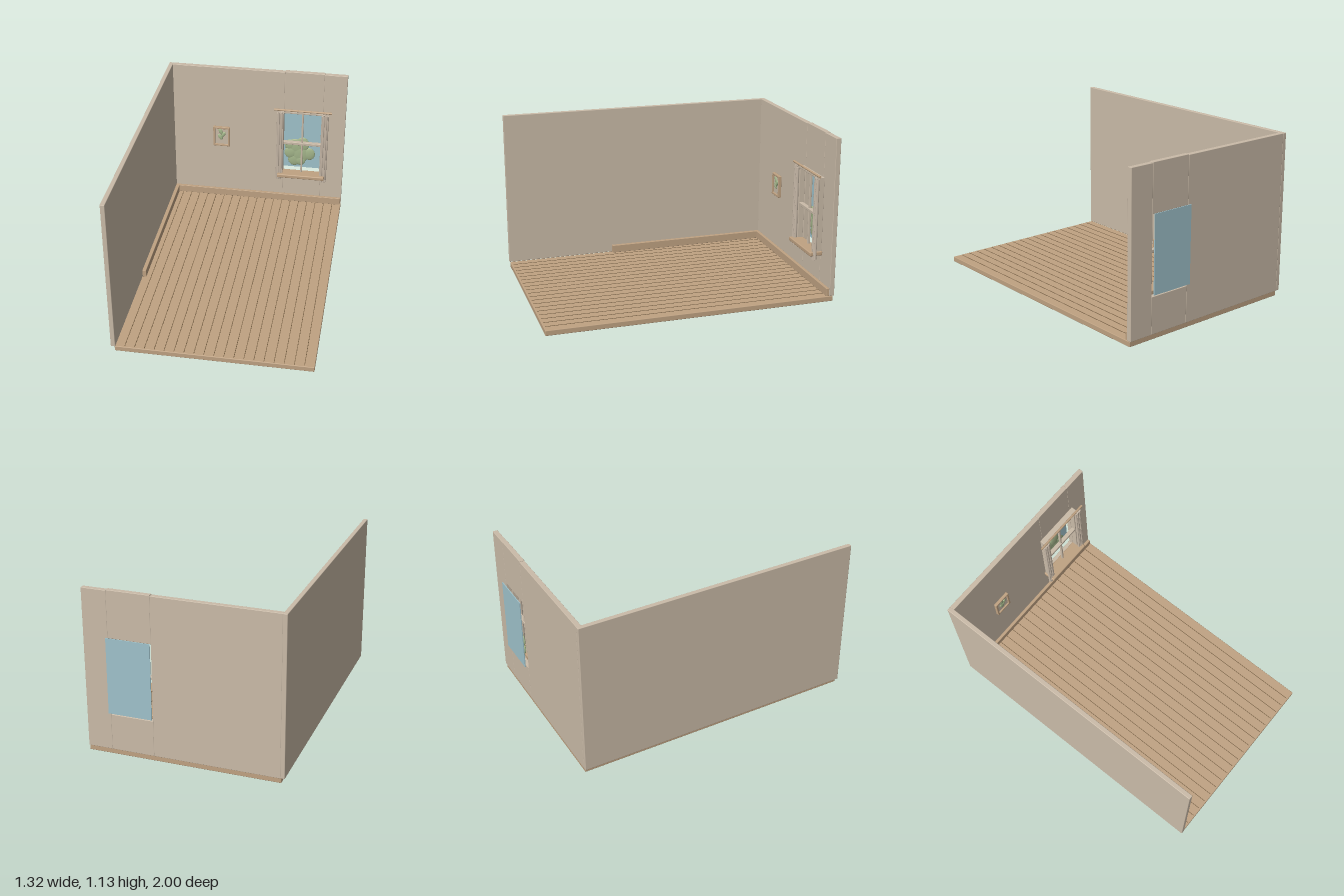
import * as THREE from 'three';
import { RoundedBoxGeometry } from 'three/addons/geometries/RoundedBoxGeometry.js';

const mat = (name, color) => {
  const m = new THREE.MeshStandardMaterial({ color });
  m.name = name;
  return m;
};

export function createModel() {
  const plaster = mat('plaster', 0xcabba8);
  const wood = mat('wood', 0xbfa282);
  const seamBrown = mat('seam brown', 0x7d6548);
  const sky = mat('sky blue', 0x9fc2cb);
  const leafGreen = mat('leaf green', 0xa3b58a);
  const linen = mat('linen', 0xc8b9a8);
  const model = new THREE.Group();
  model.name = 'roomCorner';

  const group = (name) => {
    const g = new THREE.Group();
    g.name = name;
    model.add(g);
    return g;
  };
  const add = (parent, name, geometry, material) => {
    const mesh = new THREE.Mesh(geometry, material);
    mesh.name = name;
    parent.add(mesh);
    return mesh;
  };
  // Box given by its limits on each axis, with an optional rounded edge
  const box = (parent, name, material, [x0, x1], [y0, y1], [z0, z1], r = 0) => {
    const s = [x1 - x0, y1 - y0, z1 - z0];
    const geo = r ? new RoundedBoxGeometry(...s, 2, r) : new THREE.BoxGeometry(...s);
    const mesh = add(parent, name, geo, material);
    mesh.position.set((x0 + x1) / 2, (y0 + y1) / 2, (z0 + z1) / 2);
    return mesh;
  };
  // Flattened ball, tilted in the plane of the wall
  const blob = (parent, name, x, y, z, rx, ry, rz, tilt = 0) => {
    const mesh = add(parent, name, new THREE.SphereGeometry(1, 24, 16), leafGreen);
    mesh.position.set(x, y, z);
    mesh.scale.set(rx, ry, rz);
    mesh.rotation.z = tilt;
  };

  // Floor with plank seams
  const floor = group('floor');
  box(floor, 'floorSlab', wood, [-0.64, 0.66], [0, 0.036], [-0.965, 0.995], 0.004);
  for (let i = 1; i < 20; i++) {
    const x = -0.64 + i * 0.065;
    box(floor, 'plankSeam', seamBrown, [x - 0.002, x + 0.002], [0.034, 0.038], [-0.94, 0.985]);
  }

  // Walls, the back one in four pieces around the window opening
  const walls = group('walls');
  const backZ = [-0.974, -0.94];
  box(walls, 'leftWall', plaster, [-0.664, -0.634], [0.037, 1.125], [-0.974, 1], 0.004);
  box(walls, 'backWallWide', plaster, [-0.636, 0.203], [0.037, 1.125], backZ, 0.003);
  box(walls, 'backWallNarrow', plaster, [0.492, 0.66], [0.037, 1.125], backZ, 0.003);
  box(walls, 'wallAboveWindow', plaster, [0.202, 0.493], [0.81, 1.129], backZ, 0.003);
  box(walls, 'wallBelowWindow', plaster, [0.202, 0.493], [0.037, 0.285], backZ, 0.003);

  // Skirting boards
  const skirting = group('skirting');
  box(skirting, 'backSkirting', wood, [-0.61, 0.655], [0.036, 0.091], [-0.94, -0.918], 0.003);
  box(skirting, 'sideSkirting', wood, [-0.635, -0.608], [0.036, 0.091], [-0.94, 0.23], 0.003);

  // Window frame, glazing bars and sill
  const win = group('window');
  const frameZ = [-0.936, -0.897];
  for (const [a, b] of [[0.178, 0.206], [0.489, 0.517]])
    box(win, 'windowJamb', plaster, [a, b], [0.29, 0.825], frameZ, 0.003);
  box(win, 'windowHead', plaster, [0.178, 0.517], [0.81, 0.826], frameZ, 0.003);
  box(win, 'meetingRail', plaster, [0.2, 0.495], [0.546, 0.567], [-0.93, -0.9], 0.003);
  box(win, 'centreBar', plaster, [0.34, 0.353], [0.3, 0.815], [-0.925, -0.907], 0.003);
  box(win, 'windowSill', wood, [0.168, 0.526], [0.281, 0.31], [-0.94, -0.847], 0.007);

  // Curtains of narrow folds hanging from a rod
  const curtains = group('curtains');
  const rod = add(curtains, 'curtainRod', new THREE.CylinderGeometry(0.008, 0.008, 0.43, 16), wood);
  rod.rotation.z = Math.PI / 2;
  rod.position.set(0.347, 0.845, -0.882);
  for (const side of [-1, 1]) {
    for (let i = 0; i < 5; i++) {
      const drop = i % 2 ? 0.575 : 0.558;
      const fold = add(curtains, 'curtainFold', new THREE.CylinderGeometry(0.0075, 0.0075, drop, 12), linen);
      fold.scale.z = 1.3;
      fold.position.set(0.348 + side * (0.146 + i * 0.0098), 0.54, -0.88 + (i % 2 ? 0.002 : -0.002));
    }
  }

  // Sky panel and tree outside the window
  const outside = group('outside');
  box(outside, 'skyPanel', sky, [0.2, 0.496], [0.304, 0.82], [-1, -0.994]);
  const crown = [
    [0.29, 0.48, 0.075, 0.072], [0.345, 0.51, 0.05, 0.06], [0.255, 0.435, 0.047, 0.05],
    [0.285, 0.375, 0.048, 0.052], [0.325, 0.425, 0.07, 0.075], [0.33, 0.37, 0.04, 0.04],
    [0.397, 0.43, 0.044, 0.052], [0.25, 0.5, 0.042, 0.045],
  ];
  crown.forEach(([x, y, rx, ry], i) => blob(outside, 'treeCrown', x, y, -0.983 + (i % 3) * 0.001, rx, ry, 0.011));

  // Framed leaf picture
  const picture = group('picture');
  const px = [-0.333, -0.206], py = [0.476, 0.637], pz = [-0.94, -0.918], w = 0.015;
  box(picture, 'pictureBacking', plaster, [-0.325, -0.214], [0.484, 0.629], [-0.94, -0.929]);
  for (const [a, b] of [[py[0], py[0] + w], [py[1] - w, py[1]]])
    box(picture, 'pictureFrameRail', wood, px, [a, b], pz, 0.003);
  for (const [a, b] of [[px[0], px[0] + w], [px[1] - w, px[1]]])
    box(picture, 'pictureFrameStile', wood, [a, b], py, pz, 0.003);
  for (const [x, y, tilt] of [[-0.276, 0.598, 0.45], [-0.257, 0.572, -0.55], [-0.28, 0.551, 0.6]])
    blob(picture, 'pictureLeaf', x, y, -0.926, 0.014, 0.028, 0.008, tilt);

  return model;
}
